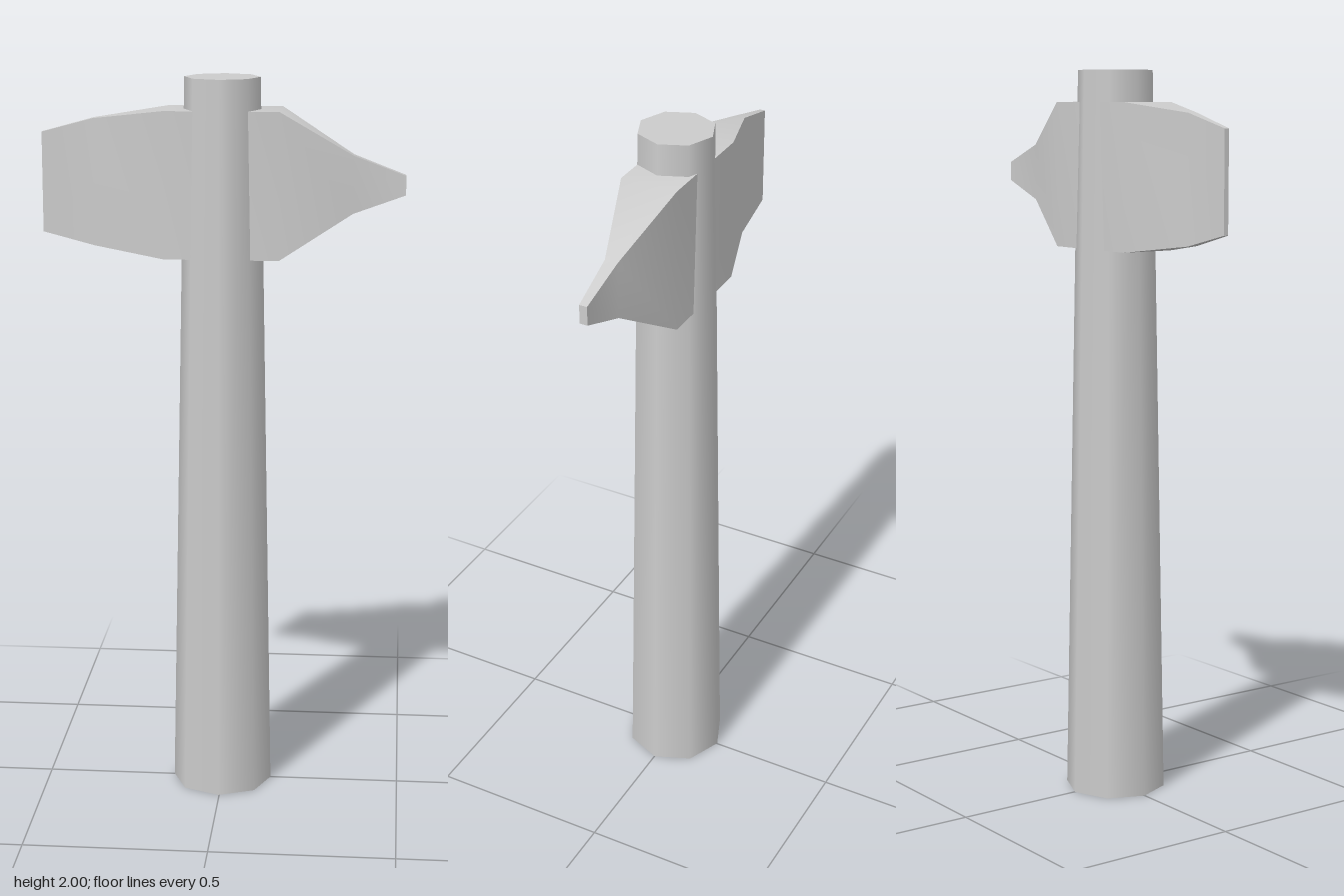
import * as THREE from 'three';
import { mergeGeometries } from 'three/addons/utils/BufferGeometryUtils.js';

// Head cross-sections along x: [x, bottom, top, back, front]
const HEAD_SECTIONS = [
  [-0.49, 1.58, 1.85, -0.014, 0.0],
  [-0.35, 1.545, 1.888, -0.021, 0.008],
  [-0.155, 1.52, 1.915, -0.085, 0.072],
  [0.155, 1.52, 1.915, -0.085, 0.072],
  [0.35, 1.64, 1.795, -0.025, 0.011],
  [0.49, 1.69, 1.742, -0.018, 0.004],
];

function indexedGeometry(points, index) {
  const geometry = new THREE.BufferGeometry();
  geometry.setAttribute('position', new THREE.Float32BufferAttribute(points.flat(), 3));
  geometry.setIndex(index);
  geometry.computeVertexNormals();
  return geometry;
}

// Loft of rectangles: each side is smooth along its length, corners stay sharp
function loftRectangles(sections) {
  const rings = sections.map(([x, y0, y1, z0, z1]) => [
    [x, y1, z1], [x, y1, z0], [x, y0, z0], [x, y0, z1],
  ]);
  const parts = [];
  for (let side = 0; side < 4; side++) {
    const points = rings.flatMap((ring) => [ring[side], ring[(side + 1) % 4]]);
    const index = [];
    for (let i = 0; i < rings.length - 1; i++) {
      const a = 2 * i;
      index.push(a, a + 2, a + 1, a + 1, a + 2, a + 3);
    }
    parts.push(indexedGeometry(points, index));
  }
  // End caps
  parts.push(indexedGeometry(rings[0], [0, 1, 2, 0, 2, 3]));
  parts.push(indexedGeometry(rings[rings.length - 1], [0, 2, 1, 0, 3, 2]));
  return mergeGeometries(parts);
}

export function createModel() {
  const group = new THREE.Group();
  const material = new THREE.MeshStandardMaterial({ color: 0xcccccc });

  // Tapered eight-sided handle
  const handle = new THREE.Mesh(new THREE.CylinderGeometry(0.102, 0.139, 2, 8), material);
  handle.name = 'handle';
  handle.position.set(-0.002, 1, -0.001);

  // Head with a broad blade on one end and a pointed peen on the other
  const head = new THREE.Mesh(loftRectangles(HEAD_SECTIONS), material);
  head.name = 'head';

  group.add(handle, head);
  return group;
}
